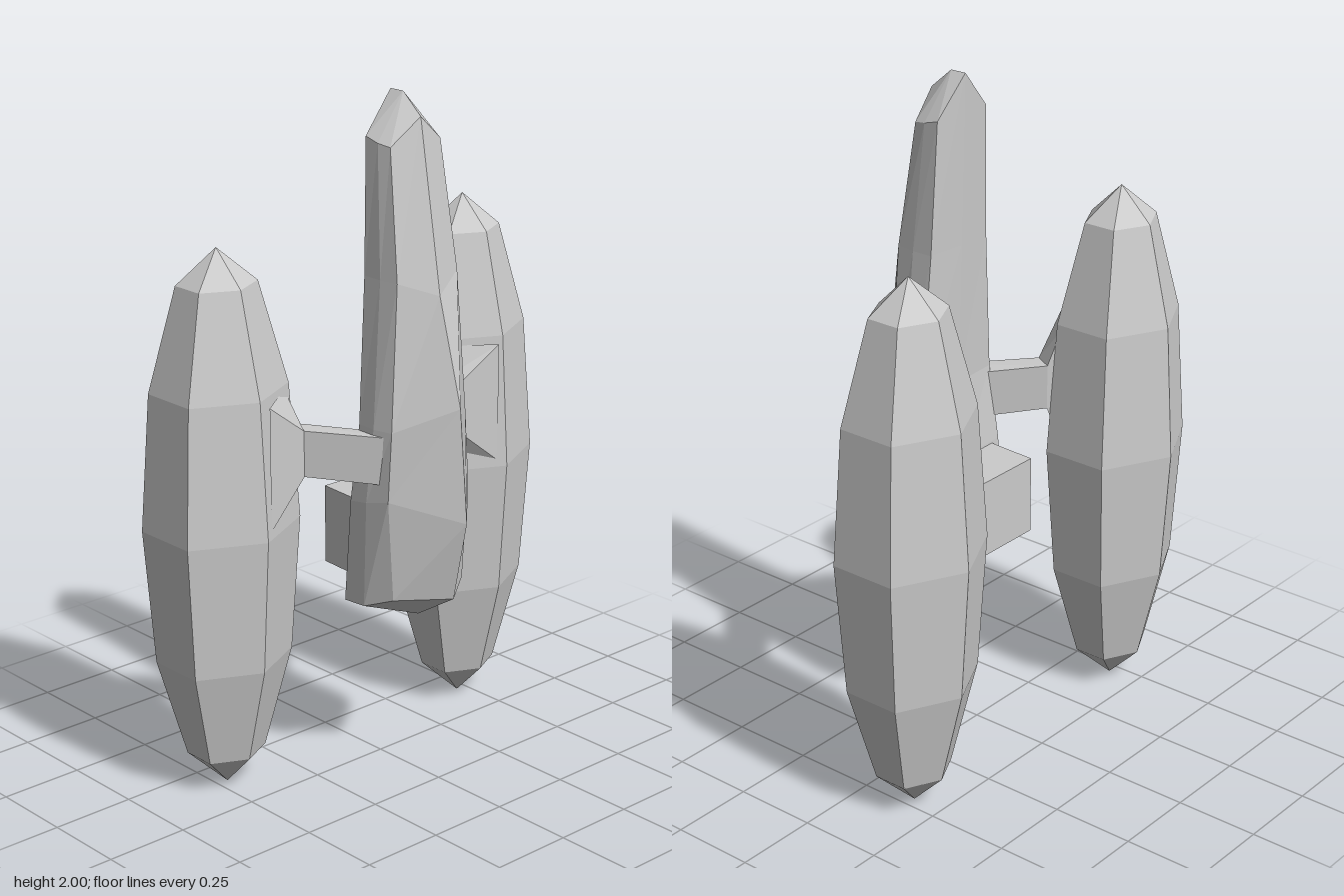
import * as THREE from 'three';

const material = new THREE.MeshStandardMaterial({ color: 0xcccccc, flatShading: true });

// Skin a stack of closed rings (each an array of [x, y, z]) and cap both ends with a fan.
function loft(rings, startTip, endTip) {
  const n = rings[0].length;
  const out = [];
  const tri = (a, b, c) => out.push(...a, ...b, ...c);
  const middle = (ring) => [0, 1, 2].map((k) => ring.reduce((s, p) => s + p[k], 0) / n);
  const first = rings[0], last = rings[rings.length - 1];
  const start = startTip || middle(first), end = endTip || middle(last);
  for (let j = 0; j < n; j++) {
    const k = (j + 1) % n;
    for (let i = 0; i < rings.length - 1; i++) {
      const lo = rings[i], hi = rings[i + 1];
      tri(lo[j], lo[k], hi[k]);
      tri(lo[j], hi[k], hi[j]);
    }
    tri(first[k], first[j], start);
    tri(last[j], last[k], end);
  }
  const geometry = new THREE.BufferGeometry();
  geometry.setAttribute('position', new THREE.Float32BufferAttribute(out, 3));
  geometry.computeVertexNormals();
  return geometry;
}

function addMesh(parent, name, geometry) {
  const mesh = new THREE.Mesh(geometry, material);
  mesh.name = name;
  parent.add(mesh);
  return mesh;
}

// Half section from front ridge to back centre, mirrored to a full ring.
const mirrorRing = (half) => [
  ...half,
  ...half.slice(1, -1).reverse().map(([x, y, z]) => [-x, y, z]),
];

// Tall wedge hull: ridge, front corner, side, back edge, back centre
function hullGeometry() {
  const halves = [
    [[0, 0.58, 0.305], [0.135, 0.58, 0.2], [0.165, 0.545, 0.11], [0.165, 0.54, 0.03], [0, 0.47, 0.03]],
    [[0, 0.82, 0.355], [0.155, 0.88, 0.2], [0.165, 0.86, 0.12], [0.165, 0.85, 0.055], [0, 0.85, 0.05]],
    [[0, 1.15, 0.325], [0.142, 1.08, 0.2], [0.155, 1.08, 0.14], [0.152, 1.08, 0.078], [0, 1.08, 0.068]],
    [[0, 1.455, 0.24], [0.113, 1.5, 0.19], [0.121, 1.5, 0.13], [0.12, 1.5, 0.065], [0, 1.5, 0.055]],
    [[0, 1.94, 0.16], [0.093, 1.865, 0.14], [0.102, 1.872, 0.1], [0.103, 1.885, 0.053], [0, 2, 0.04]],
  ];
  return loft(halves.map(mirrorRing), [0, 0.49, 0.16], [0, 2, 0.09]);
}

// Tapered block on the back of the hull
function blockGeometry() {
  const w = [0.138, 0.125];
  const ring = (y) => [[-w[0], y, 0.1], [w[0], y, 0.1], [w[1], y, -0.1], [-w[1], y, -0.1]];
  return loft([ring(0.61), ring(0.843)]);
}

// Six-sided pod, slightly stretched sideways so it is as wide as it is deep
function podGeometry() {
  const profile = [[0, 0], [0.103, 0.105], [0.177, 0.4], [0.203, 0.8], [0.177, 1.2], [0.103, 1.5], [0, 1.6]];
  const geometry = new THREE.LatheGeometry(profile.map(([r, y]) => new THREE.Vector2(r, y)), 6);
  return geometry.scale(1.155, 1, 1);
}

// Slanting arm from hull to pod, flaring where it meets the pod
function armGeometry(side) {
  const sections = [
    { front: [0.12, 0.205], back: [0.13, 0.09], low: 0.92, high: 1.06 },
    { front: [0.295, 0.008], back: [0.262, -0.05], low: 0.94, high: 1.075 },
    { front: [0.44, 0.035], back: [0.3, -0.07], low: 0.82, high: 1.18 },
  ];
  const rings = sections.map(({ front, back, low, high }) => {
    const ring = [[front, low], [back, low], [back, high], [front, high]]
      .map(([[x, z], y]) => [side * x, y, z]);
    return side > 0 ? ring : ring.reverse();
  });
  return loft(rings);
}

export function createModel() {
  const model = new THREE.Group();
  model.name = 'spacecraft';

  addMesh(model, 'hull', hullGeometry());
  addMesh(model, 'rearBlock', blockGeometry());

  for (const side of [1, -1]) {
    const label = side > 0 ? 'left' : 'right';
    addMesh(model, label + 'Pod', podGeometry()).position.set(side * 0.465, 0, -0.152);
    addMesh(model, label + 'Arm', armGeometry(side));
  }
  return model;
}
